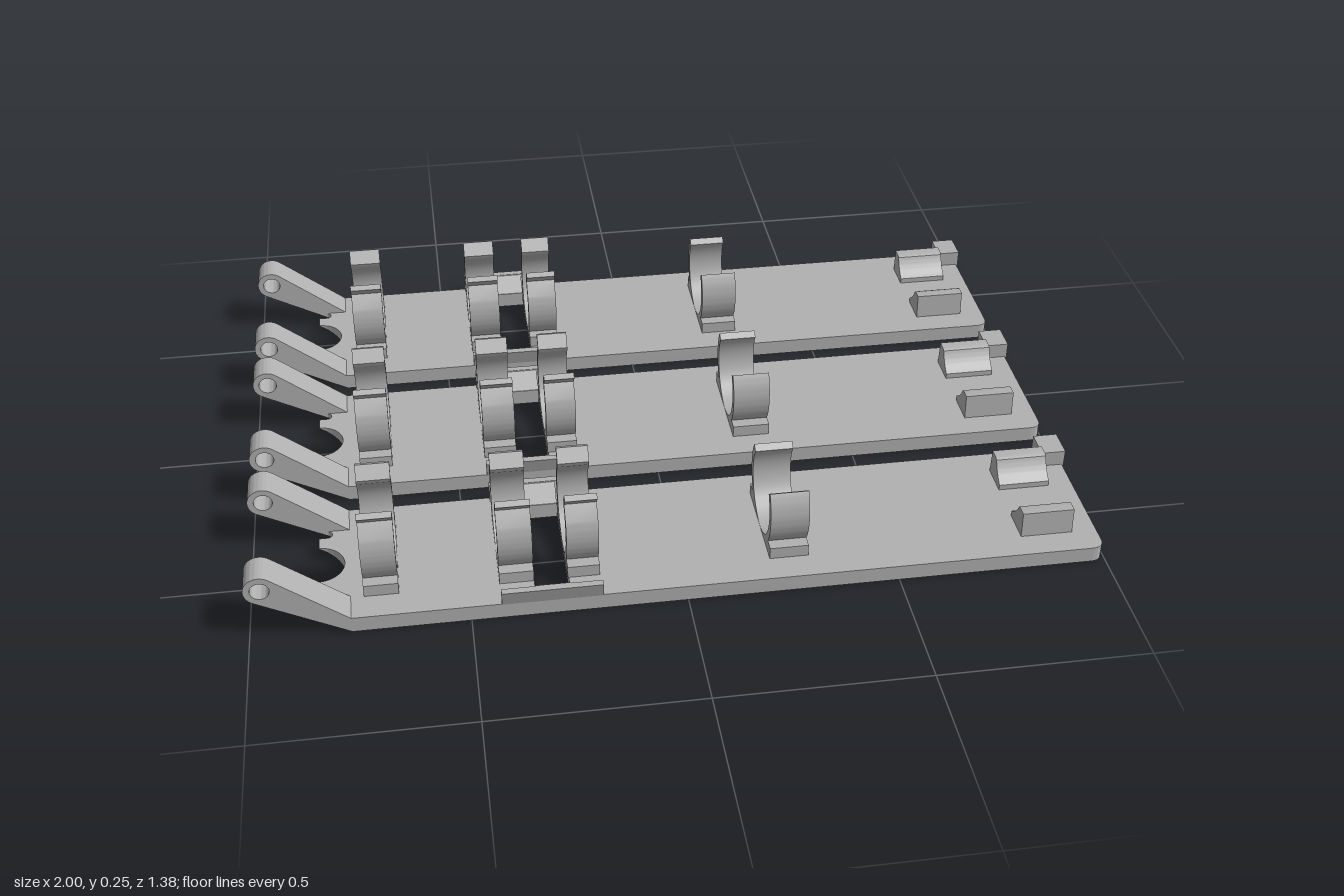
import * as THREE from 'three';
import { toCreasedNormals } from 'three/addons/utils/BufferGeometryUtils.js';

const grey = new THREE.MeshStandardMaterial({ color: 0xb0b0b0 });
grey.name = 'grey plastic';

const BORE_Y = 0.141, BORE_R = 0.1, RING_R = 0.119;
const HALF = 0.195, TOP = 0.04;

const polygon = (pts) => new THREE.Shape(pts.map(([a, b]) => new THREE.Vector2(a, b)));
const hole = (x, y, r) => new THREE.Path().absarc(x, y, r, 0, Math.PI * 2, true);

function extrude(shape, depth) {
  return new THREE.ExtrudeGeometry(shape, { depth, bevelEnabled: false, curveSegments: 20 });
}

function part(name, geometry) {
  const mesh = new THREE.Mesh(toCreasedNormals(geometry, 0.55), grey);
  mesh.name = name;
  return mesh;
}

// section drawn in (z, y), running along x
function alongX(name, shape, x0, x1) {
  return part(name, extrude(shape, x1 - x0).rotateY(-Math.PI / 2).translate(x1, 0, 0));
}

// side outline drawn in (x, y), running along z
function alongZ(name, shape, z0, z1) {
  return part(name, extrude(shape, z1 - z0).translate(0, 0, z0));
}

// outline drawn in (x, -z), rising along y
function alongY(name, shape, y0, y1) {
  return part(name, extrude(shape, y1 - y0).rotateX(-Math.PI / 2).translate(0, y0, 0));
}

function arc(radius, from, to, steps = 20) {
  const pts = [];
  for (let i = 0; i <= steps; i++) {
    const a = from + (to - from) * i / steps;
    pts.push([radius * Math.cos(a), BORE_Y + radius * Math.sin(a)]);
  }
  return pts;
}

// open ring on a foot, optionally with flared lips
function clipShape(lips) {
  const footAngle = -Math.asin((BORE_Y - 0.07) / RING_R);
  const half = [[0.125, 0.039], [0.125, 0.07]];
  if (lips) {
    half.push(...arc(RING_R, footAngle, 0.42));
    half.push([0.082, 0.222], [0.105, 0.247], [0.09, 0.254], [0.066, 0.224]);
    half.push(...arc(BORE_R, 0.8, -Math.PI / 2));
  } else {
    half.push(...arc(RING_R, footAngle, 0.62), ...arc(BORE_R, 0.62, -Math.PI / 2));
  }
  const mirrored = half.slice(0, -1).reverse().map(([z, y]) => [-z, y]);
  return polygon([...half, ...mirrored]);
}

function plateShape() {
  const s = new THREE.Shape();
  s.moveTo(-0.77, -HALF);
  s.lineTo(0.965, -HALF);
  s.quadraticCurveTo(0.995, -HALF, 0.995, -HALF + 0.03);
  s.lineTo(0.995, 0.128);
  s.lineTo(0.94, 0.128);
  s.lineTo(0.94, HALF);
  s.lineTo(-0.77, HALF);
  s.closePath();
  const slot = [[-0.35, -0.15], [-0.35, 0.15], [-0.27, 0.15], [-0.27, -0.15]];
  s.holes.push(new THREE.Path(slot.map(([x, y]) => new THREE.Vector2(x, y))));
  for (const z of [-0.1, 0.1]) s.holes.push(hole(-0.7, z, 0.012));
  return s;
}

// wedge-bottomed tongue between the arms, with a round bite in its end
function tongue() {
  const s = new THREE.Shape();
  s.moveTo(-0.77, -0.121);
  s.lineTo(-0.77, 0.121);
  s.lineTo(-0.815, 0.121);
  s.absarc(-0.822, 0.108, 0.012, Math.PI / 2, -Math.PI / 2, true);
  s.lineTo(-0.842, 0.096);
  s.lineTo(-0.842, 0.06);
  s.absarc(-0.842, 0, 0.06, Math.PI / 2, -Math.PI / 2, true);
  s.lineTo(-0.842, -0.096);
  s.lineTo(-0.822, -0.096);
  s.absarc(-0.822, -0.108, 0.012, Math.PI / 2, -Math.PI / 2, true);
  s.closePath();
  const g = extrude(s, TOP).rotateX(-Math.PI / 2);
  const p = g.attributes.position;
  for (let i = 0; i < p.count; i++) {
    if (p.getY(i) < 0.01) p.setY(i, Math.min(0.039, (-0.77 - p.getX(i)) * 0.53));
  }
  g.computeVertexNormals();
  return part('tongue', g);
}

// rising arm with a pivot eye
function armShape() {
  const s = new THREE.Shape();
  s.moveTo(-0.77, 0);
  s.lineTo(-0.77, TOP);
  s.lineTo(-0.939, 0.172);
  s.absarc(-0.962, 0.143, 0.037, 0.9, 4.18, false);
  s.closePath();
  s.holes.push(hole(-0.962, 0.143, 0.022));
  return s;
}

function createUnit() {
  const unit = new THREE.Group();
  unit.name = 'clipRail';
  unit.add(alongY('basePlate', plateShape(), 0, TOP), tongue());

  // ring clips
  for (const [x0, x1] of [[-0.74, -0.66], [-0.43, -0.35], [-0.272, -0.197]]) {
    unit.add(alongX('lippedClip', clipShape(true), x0, x1));
  }
  unit.add(alongX('plainClip', clipShape(false), 0.203, 0.295));

  // parts mirrored across the rail
  for (const side of [-1, 1]) {
    const flip = (pts) => polygon(pts.map(([z, y]) => [z * side, y]));
    const z0 = side > 0 ? 0.12 : -HALF;
    unit.add(alongZ('pivotArm', armShape(), z0, z0 + 0.075));
    // hooked rim beside the slot
    unit.add(alongX('sideRim', flip([[0.178, 0.038], [HALF, 0.038], [0.207, 0.08], [0.19, 0.08]]), -0.43, -0.197));
    unit.add(alongX('slotRamp', flip([[0.15, 0.038], [0.19, 0.038], [0.194, 0.079], [0.187, 0.079]]), -0.35, -0.27));
    // cradle block with a concave inner face
    const concave = arc(BORE_R, -0.42, -1.05, 10);
    unit.add(alongX('cradleBlock', flip([[0.05, 0.039], [0.13, 0.039], [0.125, 0.104], [0.1, 0.104], ...concave]), 0.81, 0.935));
  }

  // corner block with a pin hole
  const block = polygon([[-0.2, 0], [-0.128, 0], [-0.128, 0.08], [-0.2, 0.08]]);
  block.holes.push(hole(-0.164, 0.035, 0.019));
  unit.add(alongX('pinBlock', block, 0.94, 1));
  return unit;
}

export function createModel() {
  const model = new THREE.Group();
  model.name = 'clipRailSet';
  for (const i of [-1, 0, 1]) {
    const unit = createUnit();
    unit.position.z = i * 0.482;
    model.add(unit);
  }
  return model;
}
